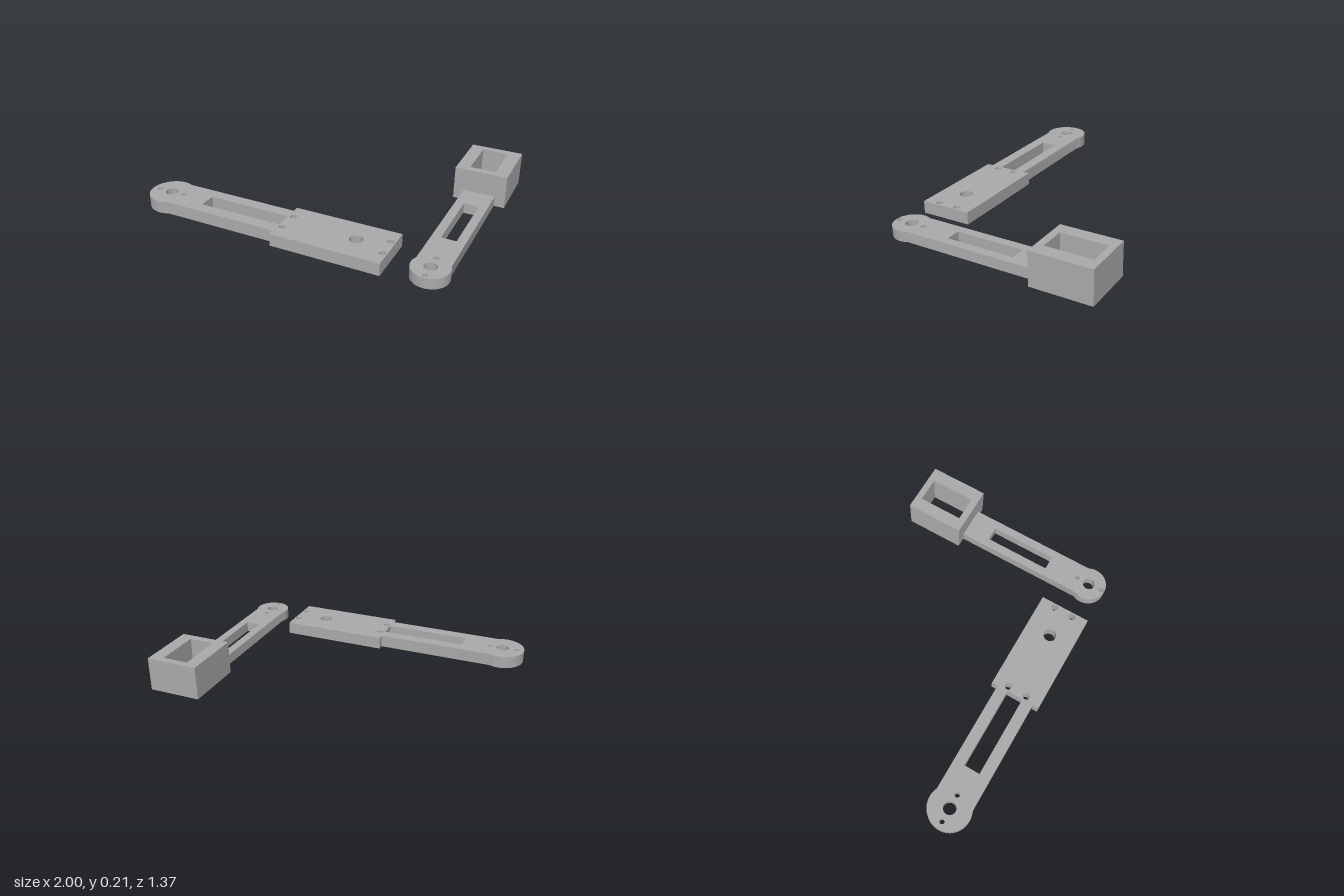
import * as THREE from 'three';
import { toCreasedNormals } from 'three/addons/utils/BufferGeometryUtils.js';

// Plans are drawn in (x, -z) and extruded upwards from the ground.
function circleHole(x, z, r) {
  return new THREE.Path().absarc(x, -z, r, 0, Math.PI * 2, true);
}

function rectPoints(x0, x1, z0, z1) {
  return [[x0, -z1], [x1, -z1], [x1, -z0], [x0, -z0]].map(([x, y]) => new THREE.Vector2(x, y));
}

function rectHole(...bounds) {
  return new THREE.Path(rectPoints(...bounds).reverse());
}

function slab(name, shape, holes, height, material) {
  shape.holes.push(...holes);
  let geometry = new THREE.ExtrudeGeometry(shape, { depth: height, bevelEnabled: false, curveSegments: 32 });
  geometry.rotateX(-Math.PI / 2);
  geometry = toCreasedNormals(geometry, Math.PI / 6);
  const mesh = new THREE.Mesh(geometry, material);
  mesh.name = name;
  return mesh;
}

export function createModel() {
  const group = new THREE.Group();
  group.name = 'linkageArms';
  const grey = new THREE.MeshStandardMaterial({ color: 0xaaaaaa });
  grey.name = 'grey plastic';

  // Long arm: round pivot end, slotted bar and wide mounting plate
  const ax = -0.864, az = 0.522, ar = 0.136, ah = 0.123;
  const aAngle = Math.asin(ah / ar);
  const plateX0 = -0.075, plateX1 = 0.595, plateHalf = 0.162;
  const plateArm = new THREE.Shape();
  plateArm.absarc(ax, -az, ar, aAngle, Math.PI * 2 - aAngle, false);
  plateArm.lineTo(plateX0, -az - ah);
  plateArm.lineTo(plateX0, -az - plateHalf);
  plateArm.lineTo(plateX1, -az - plateHalf);
  plateArm.lineTo(plateX1, -az + plateHalf);
  plateArm.lineTo(plateX0, -az + plateHalf);
  plateArm.lineTo(plateX0, -az + ah);
  plateArm.closePath();

  const plateHoles = [
    circleHole(ax, az, 0.04),
    circleHole(ax - 0.088, az, 0.016),
    circleHole(ax + 0.088, az, 0.016),
    rectHole(-0.604, plateX0, 0.47, 0.573),
    circleHole(0.385, az, 0.04),
  ];
  for (const x of [-0.045, 0.567]) {
    for (const side of [-1, 1]) plateHoles.push(circleHole(x, az + side * 0.063, 0.02));
  }
  group.add(slab('plateArm', plateArm, plateHoles, 0.078, grey));

  // Short arm: round pivot end and slotted bar reaching back to the socket
  const bx = 0.836, bz = 0.573, br = 0.111, bh = 0.099, socketFront = -0.314;
  const bAngle = Math.asin(bh / br);
  const socketArm = new THREE.Shape();
  socketArm.absarc(bx, -bz, br, Math.PI / 2 + bAngle, Math.PI * 2.5 - bAngle, false);
  socketArm.lineTo(bx + bh, -socketFront);
  socketArm.lineTo(bx - bh, -socketFront);
  socketArm.closePath();
  group.add(slab('socketArm', socketArm, [
    circleHole(bx, bz, 0.038),
    circleHole(bx, bz - 0.088, 0.016),
    circleHole(bx, bz + 0.088, 0.016),
    rectHole(0.791, 0.882, -0.15, 0.277),
  ], 0.065, grey));

  // Tall rectangular socket, open right through
  const socket = new THREE.Shape(rectPoints(0.674, 0.998, -0.687, socketFront));
  group.add(slab('socket', socket, [rectHole(0.755, 0.915, -0.645, -0.36)], 0.208, grey));

  return group;
}
